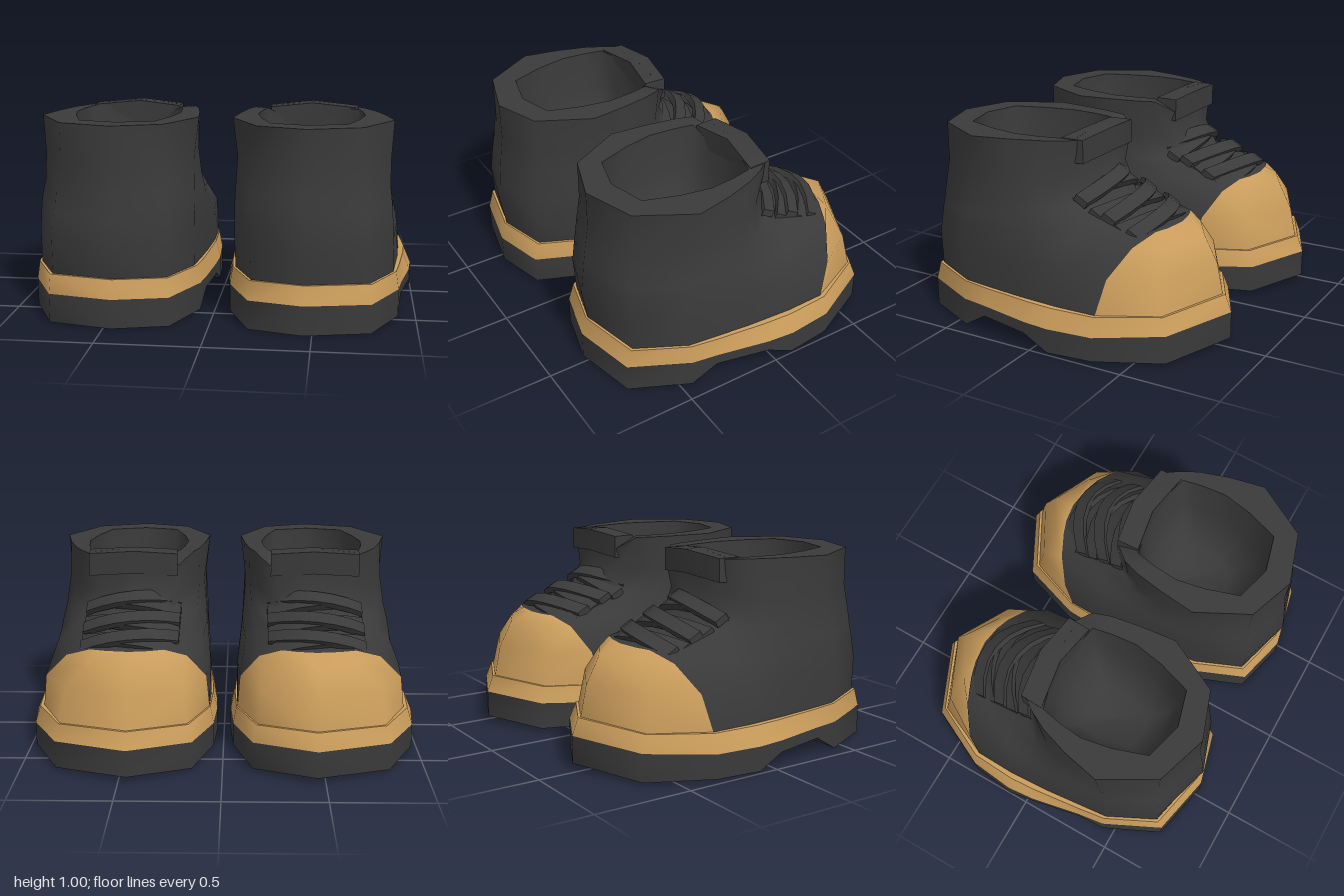
import * as THREE from 'three';
import { toCreasedNormals } from 'three/addons/utils/BufferGeometryUtils.js';

const CX = 0.46; // middle line of one boot

const leather = new THREE.MeshStandardMaterial({ color: 0x3a3a3a });
leather.name = 'blackLeather';
const tan = new THREE.MeshStandardMaterial({ color: 0xcb9d5c });
tan.name = 'tanRubber';

// Closed loop from half-outline points [width, z, widening]: back -> inner side -> toe -> outer side.
// The outer side is widened by s unless a point has its own value; y is a number or a function of (z, index).
function loop(half, y, s) {
  const n = half.length;
  const pts = half.map(([w, z]) => [CX - w, z]);
  for (let i = n - 2; i > 0; i--) pts.push([CX + half[i][0] * (half[i][2] ?? s), half[i][1]]);
  return pts.map(([x, z], i) => new THREE.Vector3(x, typeof y === 'number' ? y : y(z, i), z));
}

// Skin between successive loops; pick(row, column) chooses the material index.
function loft(rings, m, { crease = 0, pick = null } = {}) {
  const n = rings[0].length;
  const pos = [];
  rings.forEach(r => r.forEach(p => pos.push(p.x * m, p.y, p.z)));
  const faces = [[], []];
  for (let i = 0; i < rings.length - 1; i++) {
    for (let j = 0; j < n; j++) {
      const k = (j + 1) % n;
      const a = i * n + j, b = i * n + k, c = a + n, d = b + n;
      const out = faces[pick ? pick(i, j) : 0];
      if (m > 0) out.push(a, c, b, b, c, d);
      else out.push(a, b, c, b, d, c);
    }
  }
  const g = new THREE.BufferGeometry();
  g.setAttribute('position', new THREE.Float32BufferAttribute(pos, 3));
  g.setIndex([...faces[0], ...faces[1]]);
  if (pick) {
    g.addGroup(0, faces[0].length, 0);
    g.addGroup(faces[0].length, faces[1].length, 1);
  }
  g.computeVertexNormals();
  return crease ? toCreasedNormals(g, crease) : g;
}

// Piecewise-linear height along z, from [z, y] stops running heel to toe
const profile = stops => z => {
  for (let i = 1; i < stops.length; i++) {
    const [z0, y0] = stops[i - 1], [z1, y1] = stops[i];
    if (z >= z1) return THREE.MathUtils.lerp(y0, y1, THREE.MathUtils.clamp((z - z0) / (z1 - z0), 0, 1));
  }
  return stops[stops.length - 1][1];
};
const bottomY = profile([[0.8, 0], [0.44, 0], [0.31, 0.08], [0.04, 0.075], [-0.1, 0.01], [-0.64, 0.01], [-0.8, 0.03]]);
const soleTopY = profile([[0.8, 0.145], [0.3, 0.135], [-0.33, 0.13], [-0.64, 0.148], [-0.8, 0.165]]);
const weltTopY = profile([[0.76, 0.237], [0.26, 0.225], [-0.33, 0.222], [-0.61, 0.23], [-0.77, 0.25]]);

const SOLE = [[0, 0.795], [0.27, 0.725], [0.385, 0.44, 1.18], [0.4, 0.31], [0.42, 0.04, 1.25], [0.425, -0.1, 1.265], [0.41, -0.33, 1.25], [0.31, -0.64, 1.17], [0, -0.8]];
const WELT = [[0, 0.768], [0.264, 0.698], [0.37, 0.44, 1.19], [0.383, 0.3], [0.398, 0.04, 1.23], [0.402, -0.1, 1.24], [0.393, -0.33, 1.23], [0.292, -0.613, 1.18], [0, -0.767]];

// Upper: [height, outer widening, half outline]
const UPPER = [
  [0.215, 1.2, [[0, 0.755], [0.255, 0.685], [0.355, 0.44], [0.383, 0.1], [0.393, -0.12], [0.388, -0.32], [0.285, -0.605], [0, -0.76]]],
  [0.4, 1.17, [[0, 0.785], [0.26, 0.695], [0.36, 0.47], [0.385, 0.1], [0.39, -0.12], [0.375, -0.37], [0.27, -0.57], [0, -0.72]]],
  [0.53, 1.15, [[0, 0.77], [0.255, 0.68], [0.36, 0.46], [0.37, 0.1], [0.35, -0.15], [0.28, -0.44], [0.17, -0.545], [0, -0.65]]],
  [0.575, 1.14, [[0, 0.765], [0.25, 0.675], [0.36, 0.45], [0.365, 0.1], [0.29, -0.17], [0.17, -0.49], [0.1, -0.515], [0, -0.53]]],
  [0.65, 1.12, [[0, 0.755], [0.25, 0.665], [0.358, 0.42], [0.358, 0.16], [0.315, 0.01], [0.24, -0.08], [0.13, -0.205], [0, -0.25]]],
  [0.78, 1.1, [[0, 0.735], [0.238, 0.65], [0.352, 0.39, 1.14], [0.348, 0.19], [0.325, 0.06, 1.03], [0.28, -0.03, 0.97], [0.18, -0.115, 1], [0, -0.15]]],
];
const RIM = [[0, 0.735], [0.238, 0.65], [0.375, 0.385], [0.355, 0.2, 1.05], [0.33, 0.05, 0.98], [0.3, -0.04, 0.92], [0.22, -0.12, 1], [0, -0.15]];
const MOUTH = [[0, 0.6], [0.18, 0.55], [0.235, 0.38], [0.262, 0.23], [0.25, 0.1], [0.23, 0], [0.12, -0.03], [0, -0.05]];
// The rim dips on the inner side beside the tongue
const rimY = (z, i) => (i === 6 || i === 7 ? 0.91 : 0.972);

// Flat lace drooping over the vamp, from one eyelet row to the other
function lace(z0, z1, lift, m) {
  const rings = [];
  const normal = new THREE.Vector3(0, 0.87, -0.5), along = new THREE.Vector3(0, 0.5, 0.87);
  const N = 6;
  const section = (t, w, h) => {
    const u = t * 2 - 1;
    const z = THREE.MathUtils.lerp(z0, z1, t);
    const y = 0.607 + (z + 0.47) * 0.45 - 0.06 * u * u + lift;
    const c = new THREE.Vector3(CX + 0.01 + u * 0.245, y, z + 0.1 * u * u);
    return [[-w, -h], [w, -h], [w, h], [-w, h]].map(([a, b]) =>
      c.clone().addScaledVector(along, a).addScaledVector(normal, b));
  };
  rings.push(section(0, 0, 0));
  for (let i = 0; i <= N; i++) rings.push(section(i / N, 0.036, 0.017));
  rings.push(section(1, 0, 0));
  return loft(rings, m, { crease: 0.6 });
}

function boot(m, name) {
  const g = new THREE.Group();
  g.name = name;
  const add = (part, geo, mat) => {
    const mesh = new THREE.Mesh(geo, mat);
    mesh.name = part;
    g.add(mesh);
  };

  // Outsole with raised arch
  const tread = loop(SOLE, bottomY, 1.18);
  const spine = tread.map(p => new THREE.Vector3(CX, p.y, p.z));
  const soleTop = loop(SOLE, soleTopY, 1.18);
  add('outsole', loft([spine, tread, soleTop], m, { crease: 1.15 }), leather);

  // Tan welt, with a narrow ledge against the upper
  const weltTop = loop(WELT, weltTopY, 1.2);
  const ledge = weltTop.map(p => new THREE.Vector3(CX + (p.x - CX) * 0.92, p.y, p.z * 0.96));
  add('weltSide', loft([soleTop, weltTop], m), tan);
  add('weltLedge', loft([weltTop, ledge], m), tan);

  // Upper with tan toe cap
  const rings = UPPER.map(([y, s, half]) => loop(half, y, s));
  const rim = loop(RIM, rimY, 1.1);
  rings.push(rim);
  add('upperAndToeCap', loft(rings, m, { pick: (i, j) => (i < 3 && j >= 5 && j < 9 ? 1 : 0) }), [leather, tan]);

  // Padded collar edge and bowl-shaped lining
  const mouth = loop(MOUTH, rimY, 1.04);
  add('collar', loft([rim, mouth], m, { crease: 0.6 }), leather);
  const bowl = [[0.76, 0.95], [0.6, 0.8], [0.52, 0.5], [0.5, 0]].map(([y, k]) =>
    mouth.map(p => new THREE.Vector3(CX + (p.x - CX) * k, y, 0.26 + (p.z - 0.26) * k)));
  add('lining', loft([mouth, ...bowl], m), leather);

  // Tongue
  const plan = [[0, -0.045], [-0.215, -0.01], [-0.22, -0.125], [0, -0.158], [0.235, -0.125], [0.24, -0.01]];
  const slab = y => plan.map(([x, z]) => new THREE.Vector3(CX + x, y + (x ? 0 : 0.02), z));
  const crown = plan.map(([x]) => new THREE.Vector3(CX + x * 0.9, x ? 0.978 : 0.998, -0.08));
  add('tongue', loft([slab(0.86), slab(0.976), crown], m, { crease: 0.5 }), leather);

  // Criss-cross laces
  [-0.465, -0.335, -0.185].forEach((z, i) => {
    add(`laceUnder${i + 1}`, lace(z - 0.035, z + 0.035, 0, m), leather);
    add(`laceOver${i + 1}`, lace(z + 0.035, z - 0.035, 0.022, m), leather);
  });
  return g;
}

export function createModel() {
  const group = new THREE.Group();
  group.name = 'pairOfBoots';
  group.add(boot(1, 'leftBoot'), boot(-1, 'rightBoot'));
  return group;
}
